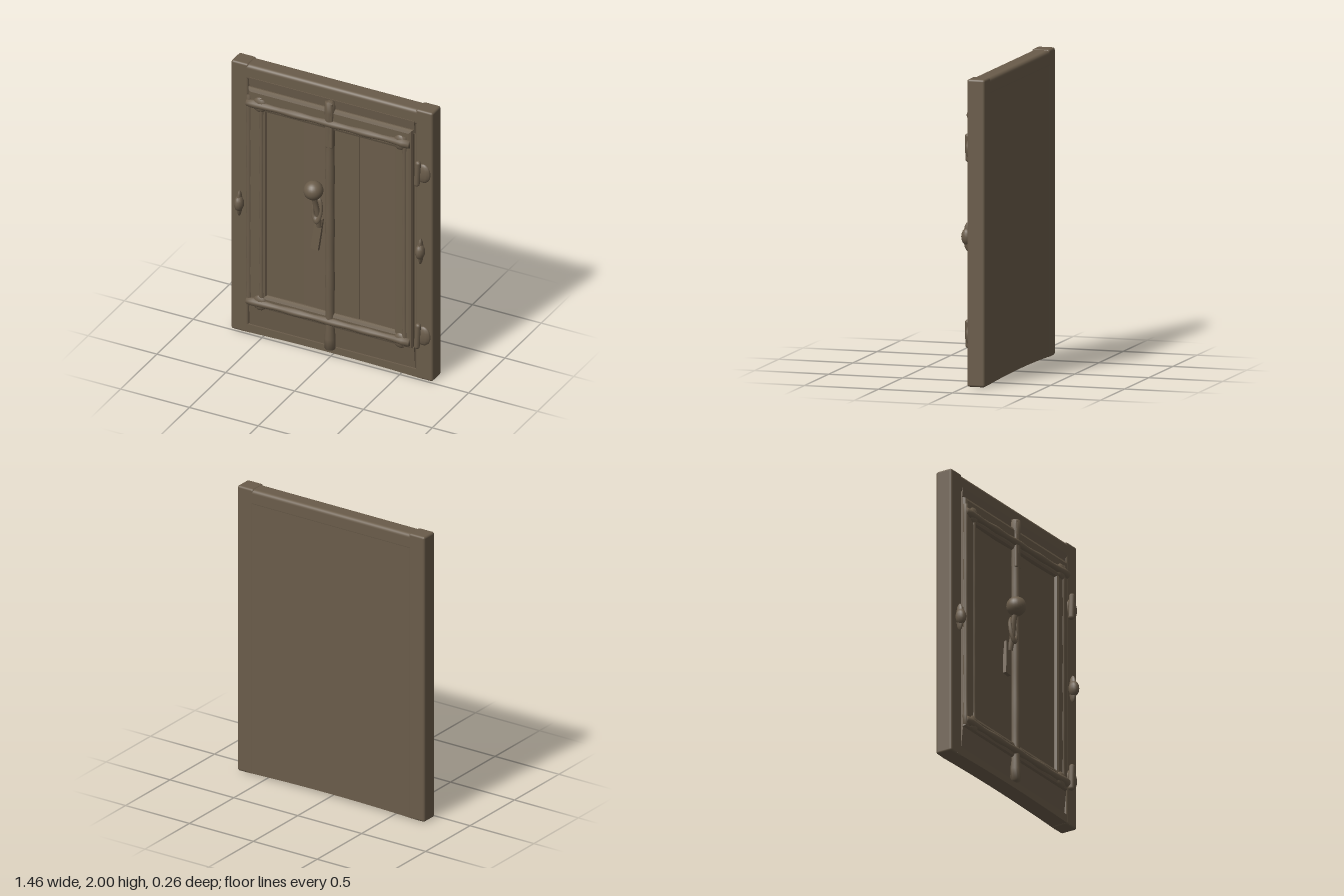
import * as THREE from 'three';
import { RoundedBoxGeometry } from 'three/addons/geometries/RoundedBoxGeometry.js';

export function createModel() {
  const door = new THREE.Group();
  door.name = 'door';
  const wood = new THREE.MeshStandardMaterial({ color: 0x6a5c4a });
  wood.name = 'weathered wood';

  const add = (name, geo, x = 0, y = 0, z = 0) => {
    const m = new THREE.Mesh(geo, wood);
    m.name = name;
    m.position.set(x, y, z);
    door.add(m);
    return m;
  };
  // rounded block given by its limits
  const block = (name, x0, x1, y0, y1, z0, z1, r) =>
    add(name, new RoundedBoxGeometry(x1 - x0, y1 - y0, z1 - z0, 3, r),
      (x0 + x1) / 2, (y0 + y1) / 2, (z0 + z1) / 2);
  const rect = (T, x0, y0, x1, y1) => {
    const s = new T();
    s.moveTo(x0, y0); s.lineTo(x1, y0); s.lineTo(x1, y1); s.lineTo(x0, y1); s.closePath();
    return s;
  };
  // slightly gnarled rod: lathe along y with an uneven radius
  const rod = (name, length, r, wobble) => {
    const pts = [new THREE.Vector2(0, -length / 2)];
    for (let i = 0; i <= 24; i++) {
      const t = i / 24;
      const end = Math.abs(t - 0.5) > 0.44 ? 1.15 : 1;
      pts.push(new THREE.Vector2(r * end * (1 + wobble * Math.sin(t * 29)), (t - 0.5) * length));
    }
    pts.push(new THREE.Vector2(0, length / 2));
    return add(name, new THREE.LatheGeometry(pts, 12));
  };

  // core and frame
  block('backPanel', -0.715, 0.715, 0.02, 1.985, -0.129, -0.03, 0.015);
  for (const s of [-1, 1]) {
    block('stile', s * 0.67 - 0.062, s * 0.67 + 0.062, 0, 2, -0.13, -0.01, 0.015);
  }
  block('topRail', -0.66, 0.66, 1.88, 1.995, -0.13, -0.01, 0.025);
  const sill = new THREE.Shape();
  sill.moveTo(-0.66, 0.005);
  sill.quadraticCurveTo(0, 0.03, 0.66, 0.005);
  sill.lineTo(0.66, 0.065);
  sill.lineTo(-0.66, 0.065);
  add('bottomRail', new THREE.ExtrudeGeometry(sill, { depth: 0.118, bevelEnabled: false }), 0, 0, -0.129);

  // raised moulding with sloped edges
  const ring = rect(THREE.Shape, -0.58, 0.24, 0.57, 1.82);
  ring.holes.push(rect(THREE.Path, -0.49, 0.3, 0.485, 1.71));
  add('moulding', new THREE.ExtrudeGeometry(ring, {
    depth: 0.025, bevelThickness: 0.02, bevelSize: 0.022, bevelSegments: 2,
  }), 0, 0, -0.03);
  for (const x of [-0.59, -0.5, 0.54]) {
    const trim = rod('verticalTrim', 1.56, 0.016, 0.05);
    trim.position.set(x, 1.01, 0.006);
  }

  // planks, each tilted a little
  const planks = [[-0.49, -0.2, 0.03], [-0.21, 0.0, -0.04], [0.0, 0.2, 0.03], [0.19, 0.49, -0.03]];
  for (const [x0, x1, tilt] of planks) {
    const p = add('plank', new THREE.BoxGeometry(x1 - x0, 1.5, 0.03), (x0 + x1) / 2, 1, -0.028);
    p.rotation.y = tilt;
  }
  // sloped boards above and below the moulding
  const upper = add('upperBoard', new THREE.BoxGeometry(1.2, 0.1, 0.02), 0, 1.86, -0.022);
  upper.rotation.x = 0.12;
  const lower = add('lowerBoard', new THREE.BoxGeometry(1.2, 0.17, 0.02), 0, 0.14, -0.025);
  lower.rotation.x = 0.1;

  // centre post and cross bars
  const post = rod('centrePost', 1.84, 0.03, 0.05);
  post.position.set(-0.005, 0.98, 0.002);
  block('postSleeve', -0.032, 0.024, 1.56, 1.9, -0.02, 0.03, 0.012);
  for (const y of [1.74, 0.265]) {
    const bar = rod('crossBar', 1.18, 0.024, 0.13);
    bar.rotation.z = Math.PI / 2 + 0.005;
    bar.position.set(-0.01, y, 0.014);
    for (const x of [-0.51, 0.51]) {
      const lump = add('barLump', new THREE.SphereGeometry(1, 12, 8), x, y, 0.012);
      lump.scale.set(0.05, 0.055, 0.022);
    }
  }

  // hinges and side knobs
  for (const y of [1.54, 0.33]) {
    const pin = add('hingePin', new THREE.CapsuleGeometry(0.02, 0.15, 4, 10), 0.635, y, 0.012);
    pin.rotation.z = -0.06;
    const leaf = add('hingeLeaf', new THREE.SphereGeometry(1, 12, 8), 0.665, y, -0.008);
    leaf.scale.set(0.055, 0.07, 0.022);
  }
  for (const x of [-0.66, 0.655]) {
    const boss = add('sideBoss', new THREE.SphereGeometry(1, 12, 8), x, 0.965, 0.015);
    boss.scale.set(0.032, 0.055, 0.038);
    const spine = add('sideSpine', new THREE.SphereGeometry(1, 10, 8), x, 0.965, 0.008);
    spine.scale.set(0.017, 0.095, 0.03);
  }

  // handle: ball, neck, loop and hanging strap
  add('knob', new THREE.SphereGeometry(0.065, 24, 16), -0.092, 1.245, 0.067);
  const neck = new THREE.CatmullRomCurve3([
    new THREE.Vector3(-0.092, 1.2, 0.06), new THREE.Vector3(-0.09, 1.14, 0.045),
    new THREE.Vector3(-0.08, 1.05, 0.03), new THREE.Vector3(-0.08, 0.95, 0.01),
  ]);
  add('neck', new THREE.TubeGeometry(neck, 16, 0.018, 8));
  const loop = add('loop', new THREE.TorusGeometry(0.035, 0.013, 8, 20), -0.082, 1.085, 0.035);
  loop.scale.set(0.85, 2.1, 1);
  loop.rotation.x = -0.15;
  const strap = rect(THREE.Shape, -0.03, -0.12, 0.025, 0.12);
  const strapMesh = add('strap', new THREE.ExtrudeGeometry(strap, { depth: 0.025, bevelEnabled: false }),
    -0.095, 0.89, -0.012);
  strapMesh.rotation.set(-0.06, 0, -0.12);

  return door;
}
